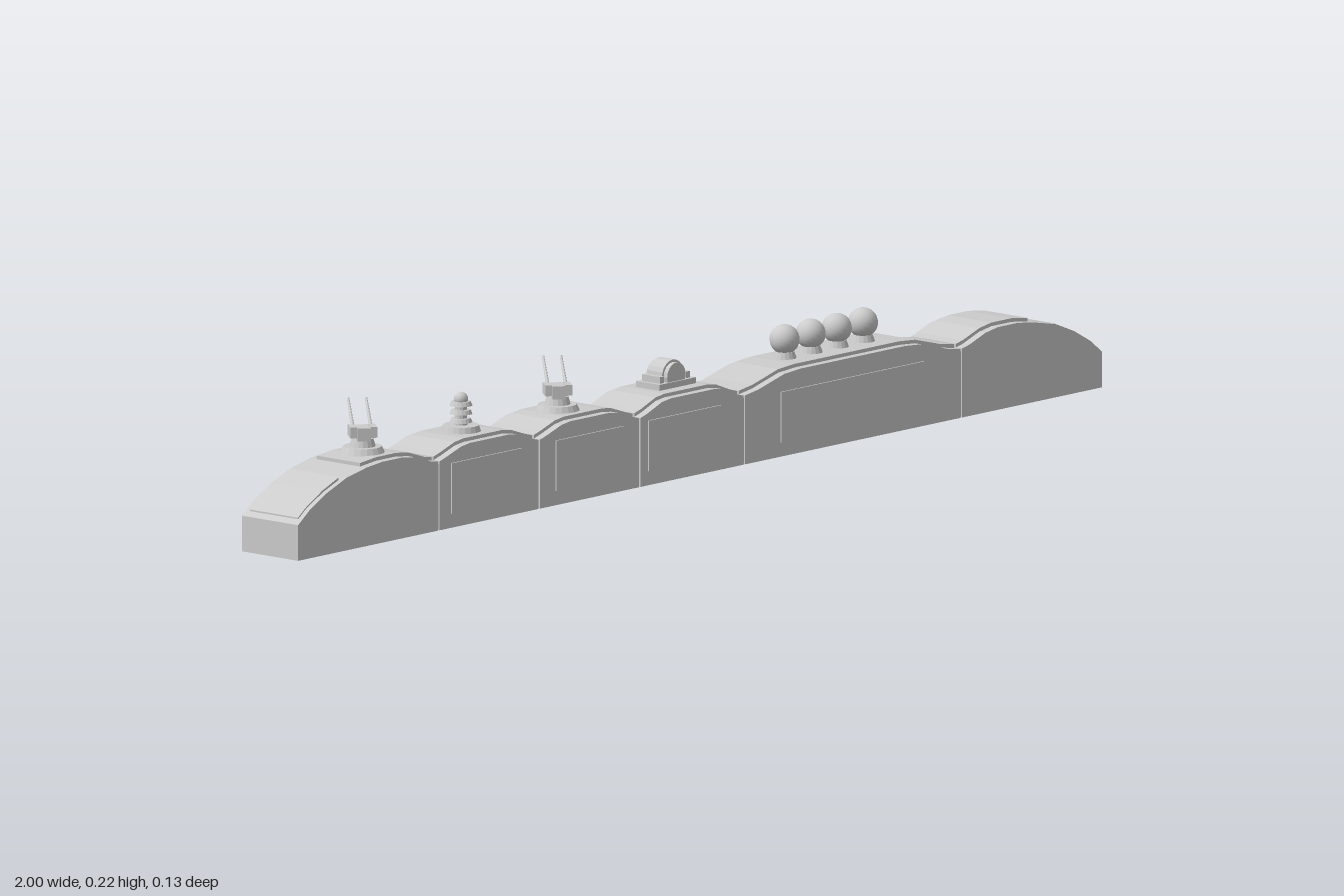
import * as THREE from 'three';

const mat = new THREE.MeshStandardMaterial({ color: 0xcccccc, flatShading: true });
const smooth = new THREE.MeshStandardMaterial({ color: 0xcccccc });

function add(parent, name, geo, x = 0, y = 0, z = 0, m = mat) {
  const mesh = new THREE.Mesh(geo, m);
  mesh.name = name;
  mesh.position.set(x, y, z);
  parent.add(mesh);
  return mesh;
}

// Side outline (x, y) extruded across the wall, centred on z = 0
function slab(top, bottom, depth) {
  const pts = [...top, ...bottom].map(([x, y]) => new THREE.Vector2(x, y));
  const geo = new THREE.ExtrudeGeometry(new THREE.Shape(pts), { depth, bevelEnabled: false });
  return geo.translate(0, 0, -depth / 2);
}

// Cylinder between two points
function rod(parent, name, a, b, r0, r1) {
  const from = new THREE.Vector3(...a), to = new THREE.Vector3(...b);
  const dir = to.clone().sub(from);
  const mesh = add(parent, name, new THREE.CylinderGeometry(r1, r0, dir.length(), 8));
  mesh.position.copy(from).add(to).multiplyScalar(0.5);
  mesh.quaternion.setFromUnitVectors(new THREE.Vector3(0, 1, 0), dir.normalize());
}

// Crest line of an inner section: low at the joints, raised in the middle
function crest(x0, x1, h, ramp) {
  return [[x0, 0.122], [x0 + ramp * 0.35, 0.127], [x0 + ramp, h - 0.003], [x0 + ramp * 1.4, h],
    [x1 - ramp * 1.4, h], [x1 - ramp, h - 0.003], [x1 - ramp * 0.35, 0.127], [x1, 0.122]];
}

function turret(x) {
  const g = new THREE.Group();
  g.name = 'gunTurret';
  g.position.set(x, 0.14, 0);
  add(g, 'turretBase', new THREE.CylinderGeometry(0.032, 0.038, 0.012, 20), 0, 0.006, 0);
  add(g, 'turretRing', new THREE.CylinderGeometry(0.018, 0.022, 0.014, 16), 0, 0.018, 0);
  const head = new THREE.Group();
  head.name = 'turretHead';
  head.rotation.y = -0.7;
  g.add(head);
  add(head, 'turretBody', new THREE.BoxGeometry(0.022, 0.022, 0.036), 0, 0.034, 0.002);
  for (const s of [-1, 1]) {
    add(head, 'sidePod', new THREE.BoxGeometry(0.011, 0.018, 0.032), s * 0.017, 0.037, 0);
    rod(head, 'barrel', [s * 0.015, 0.04, -0.005], [s * 0.015, 0.08, -0.062], 0.0032, 0.0022);
  }
  return g;
}

export function createModel() {
  const root = new THREE.Group();
  root.name = 'fortifiedWall';

  // Wall sections
  const left = [[-1, 0.062], [-0.97, 0.084], [-0.93, 0.105], [-0.88, 0.124], [-0.83, 0.138],
    [-0.79, 0.142], [-0.74, 0.142], [-0.71, 0.138], [-0.67, 0.125], [-0.65, 0.122]];
  const right = [[0.65, 0.122], [0.67, 0.126], [0.71, 0.14], [0.74, 0.145], [0.79, 0.145],
    [0.83, 0.14], [0.88, 0.126], [0.93, 0.107], [0.97, 0.085], [1, 0.062]];
  const sections = [left, crest(-0.65, -0.4, 0.142, 0.055), crest(-0.4, -0.15, 0.142, 0.055),
    crest(-0.15, 0.11, 0.144, 0.055), crest(0.11, 0.65, 0.147, 0.1), right];
  const joint = 0.002;
  sections.forEach((line) => {
    const a = line[0][0], b = line[line.length - 1][0];
    const trim = line.map(([x, y], i) => [
      i === 0 && a > -1 ? x + joint : i === line.length - 1 && b < 1 ? x - joint : x, y]);
    const x0 = trim[0][0], x1 = trim[trim.length - 1][0];
    const lower = trim.map(([x, y]) => [x, Math.abs(x) > 0.85 ? y - 0.002 : y - 0.006]);
    add(root, 'wallSection', slab(lower, [[x1, 0], [x0, 0]], 0.124));
    // Raised walkway along the crest, stopping before the sloped ends
    const deck = trim.filter(([x]) => Math.abs(x) < 0.85);
    const under = deck.map(([x, y]) => [x, y - 0.014]).reverse();
    add(root, 'crestDeck', slab(deck, under, 0.096));
  });
  add(root, 'wallCore', new THREE.BoxGeometry(1.6, 0.11, 0.118), 0, 0.056, 0);

  // Thin plates on the sloped ends
  for (const s of [-1, 1]) {
    const line = [[0.89, 0.1225], [0.93, 0.1065], [0.97, 0.0845], [0.99, 0.07]];
    const pts = line.map(([x, y]) => [s * x, y]);
    const under = pts.map(([x, y]) => [x, y - 0.006]).reverse();
    add(root, 'endPlate', slab(pts, under, 0.106));
  }

  // Front armour panels
  for (const [a, b] of [[-0.62, -0.445], [-0.36, -0.19], [-0.13, 0.05], [0.2, 0.555]])
    add(root, 'frontPanel', new THREE.BoxGeometry(b - a, 0.085, 0.006), (a + b) / 2, 0.0665, 0.0615);

  // Twin-barrel turrets
  root.add(turret(-0.77), turret(-0.285));

  // Sensor mast of stacked discs
  const mast = new THREE.Group();
  mast.name = 'sensorMast';
  mast.position.set(-0.525, 0.14, 0);
  root.add(mast);
  add(mast, 'mastBase', new THREE.CylinderGeometry(0.03, 0.034, 0.012, 20), 0, 0.006, 0);
  add(mast, 'mastPole', new THREE.CylinderGeometry(0.009, 0.011, 0.054, 12), 0, 0.035, 0);
  for (let i = 0; i < 3; i++)
    add(mast, 'mastDisc', new THREE.CylinderGeometry(0.016, 0.019, 0.007, 16), 0, 0.02 + i * 0.014, 0);
  add(mast, 'mastCap', new THREE.SphereGeometry(0.012, 14, 10), 0, 0.055, 0, smooth);

  // Drum housing
  const drum = new THREE.Group();
  drum.name = 'drumHousing';
  drum.position.set(-0.015, 0.144, 0);
  root.add(drum);
  add(drum, 'drumPlate', new THREE.BoxGeometry(0.09, 0.012, 0.052), 0, 0.004, 0);
  add(drum, 'drumBody', new THREE.CylinderGeometry(0.027, 0.027, 0.03, 20).rotateX(Math.PI / 2), 0, 0.018, 0);
  for (const s of [-1, 1]) {
    add(drum, 'drumCheek', new THREE.CylinderGeometry(0.023, 0.023, 0.008, 16).rotateX(Math.PI / 2), 0, 0.018, s * 0.019);
    add(drum, 'drumBracket', new THREE.BoxGeometry(0.01, 0.014, 0.04), s * 0.032, 0.014, 0);
  }

  // Row of spherical domes on short pedestals
  for (let i = 0; i < 4; i++) {
    const x = 0.28 + i * 0.065;
    add(root, 'domePedestal', new THREE.CylinderGeometry(0.016, 0.021, 0.014, 16), x, 0.151, 0);
    add(root, 'dome', new THREE.SphereGeometry(0.025, 20, 14), x, 0.178, 0, smooth);
  }
  return root;
}
